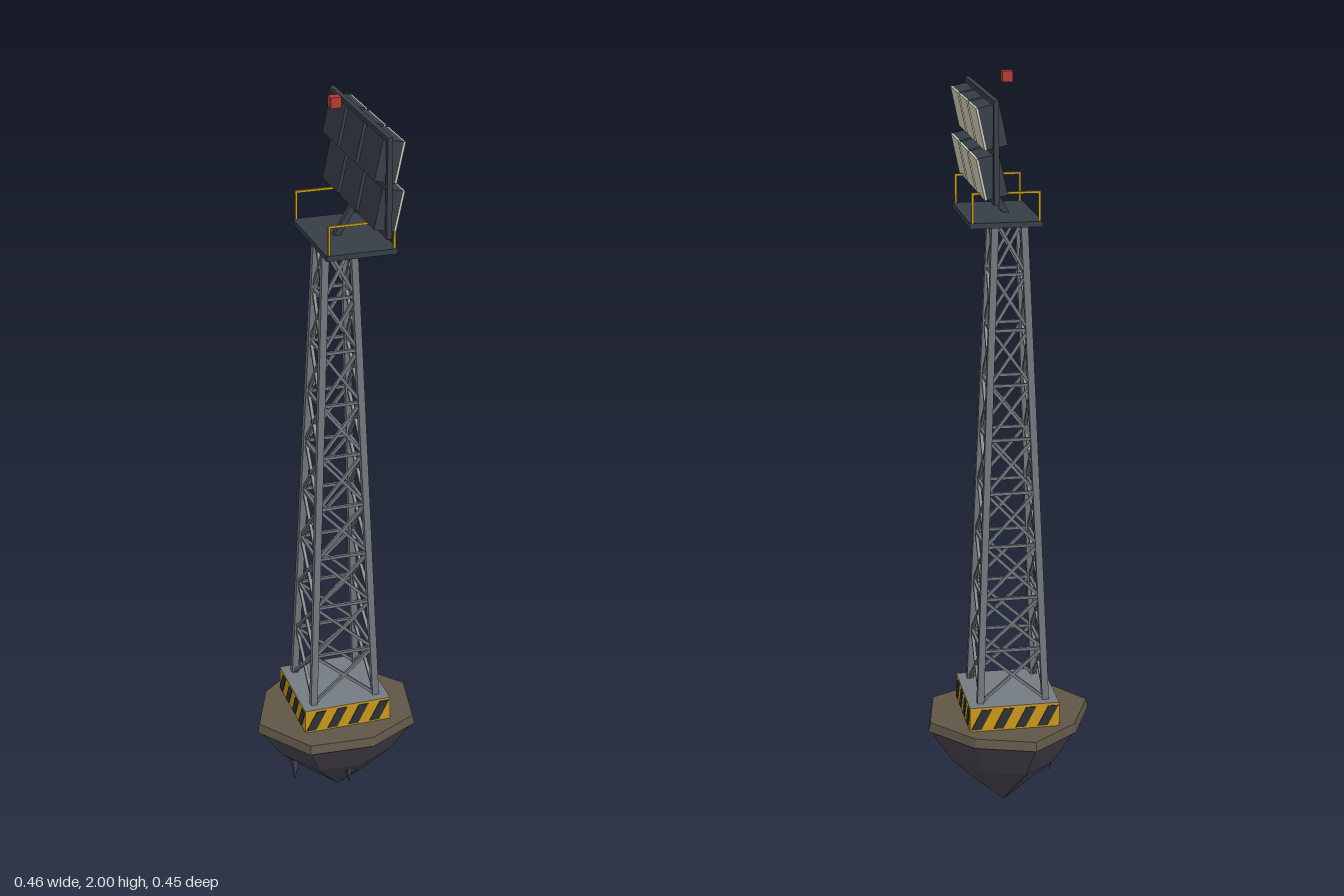
import * as THREE from 'three';

const mat = (name, color) => {
  const m = new THREE.MeshStandardMaterial({ color });
  m.name = name;
  return m;
};

export function createModel() {
  const rock = mat('rock', 0x47434f);
  const soil = mat('soil', 0x5f5647);
  const concrete = mat('concrete', 0x757c82);
  const steel = mat('steel', 0x70767c);
  const yellow = mat('safety yellow', 0xc8981c);
  const black = mat('stripe black', 0x2e3033);
  const dark = mat('dark metal', 0x363d46);
  const cream = mat('lamp glass', 0xcfccb6);
  const red = mat('beacon red', 0xb23a34);

  const root = new THREE.Group();
  root.name = 'floodlightTower';
  const tower = new THREE.Group();
  tower.name = 'tower';
  tower.position.x = 0.006;
  root.add(tower);

  const add = (parent, name, geo, material, x = 0, y = 0, z = 0) => {
    const m = new THREE.Mesh(geo, material);
    m.name = name;
    m.position.set(x, y, z);
    parent.add(m);
    return m;
  };
  const box = (parent, name, material, w, h, d, x, y, z) =>
    add(parent, name, new THREE.BoxGeometry(w, h, d), material, x, y, z);

  // Square bar between two points, in the parent's own frame
  const V = (x, y, z) => new THREE.Vector3(x, y, z);
  const up = V(0, 1, 0);
  const bar = (parent, name, material, a, b, t) => {
    const dir = b.clone().sub(a);
    const m = box(parent, name, material, t, dir.length(), t, 0, 0, 0);
    m.position.copy(a).add(b).multiplyScalar(0.5);
    m.quaternion.setFromUnitVectors(up, dir.normalize());
    return m;
  };

  // Faceted loft of the island outline; rings are [y, scale, dx, dz] from bottom to top
  const outline = [
    [0.229, -0.043], [0.197, 0.128], [0.053, 0.203], [-0.123, 0.191],
    [-0.228, 0.041], [-0.162, -0.118], [-0.035, -0.22], [0.122, -0.171],
  ];
  const loft = (rings) => {
    const n = outline.length;
    const p = (r, i) => {
      const [y, s, dx = 0, dz = 0] = rings[r];
      const [x, z] = outline[i % n];
      return [x * s + dx, y, z * s + dz];
    };
    const mid = (r) => [rings[r][2] || 0, rings[r][0], rings[r][3] || 0];
    const top = rings.length - 1;
    const pos = [];
    for (let i = 0; i < n; i++) {
      for (let r = 0; r < top; r++) {
        pos.push(...p(r, i), ...p(r + 1, i), ...p(r + 1, i + 1));
        if (rings[r][1] > 0) pos.push(...p(r, i), ...p(r + 1, i + 1), ...p(r, i + 1));
      }
      pos.push(...mid(top), ...p(top, i + 1), ...p(top, i));
      if (rings[0][1] > 0) pos.push(...mid(0), ...p(0, i), ...p(0, i + 1));
    }
    const g = new THREE.BufferGeometry();
    g.setAttribute('position', new THREE.Float32BufferAttribute(pos, 3));
    g.computeVertexNormals();
    return g;
  };

  // Floating rock with a soil cap and hanging spikes
  add(root, 'rockBase', loft([
    [0, 0, 0.015, 0.005], [0.065, 0.32, 0.012, 0.004], [0.145, 0.69, 0.004], [0.245, 0.98],
  ]), rock);
  add(root, 'soilCap', loft([[0.242, 1], [0.267, 0.975]]), soil);
  for (const [x, z, tip, h] of [[-0.12, 0.035, 0.06, 0.12], [0.015, 0.105, 0.07, 0.11]]) {
    const spike = new THREE.ConeGeometry(0.026, h, 5).toNonIndexed();
    spike.computeVertexNormals();
    spike.rotateX(Math.PI);
    add(root, 'rockSpike', spike, rock, x, tip + h / 2, z);
  }

  // Footing: concrete top, yellow sides with hazard stripes
  const y0 = 0.335, half = 0.121, footH = 0.07, stripeH = 0.056;
  add(tower, 'footing', new THREE.BoxGeometry(half * 2, footH, half * 2),
    [yellow, yellow, concrete, concrete, yellow, yellow], 0, y0 - footH / 2, 0);
  const stripe = new THREE.Shape([
    new THREE.Vector2(0, 0), new THREE.Vector2(0.027, 0),
    new THREE.Vector2(0.056, stripeH), new THREE.Vector2(0.029, stripeH),
  ]);
  const stripeGeo = new THREE.ExtrudeGeometry(stripe, { depth: 0.003, bevelEnabled: false });
  for (let s = 0; s < 4; s++) {
    const side = new THREE.Group();
    side.name = 'hazardStripes';
    side.rotation.y = s * Math.PI / 2;
    tower.add(side);
    for (let i = 0; i < 4; i++) {
      add(side, 'stripe', stripeGeo, black,
        -half + 0.003 + 0.06 * i, y0 - (footH + stripeH) / 2, half - 0.001);
    }
  }

  // Lattice mast: four sides, each with one leg, girts and crossed braces
  const yTop = 1.635, bays = 9;
  const level = (i) => y0 + (yTop - y0) * i / bays;
  const spread = (i) => 0.088 + (0.037 - 0.088) * i / bays;
  for (let s = 0; s < 4; s++) {
    const side = new THREE.Group();
    side.name = 'latticeSide';
    side.rotation.y = s * Math.PI / 2;
    tower.add(side);
    const at = (i, sx) => V(sx * spread(i), level(i), spread(i));
    bar(side, 'leg', steel, at(0, 1), at(bays, 1), 0.018);
    for (let i = 0; i < bays; i++) {
      bar(side, 'brace', steel, at(i, -1), at(i + 1, 1), 0.008);
      bar(side, 'brace', steel, at(i, 1), at(i + 1, -1), 0.008);
      if (i > 0) bar(side, 'girt', steel, at(i, -1), at(i, 1), 0.008);
    }
  }

  // Service platform with two side railings
  box(tower, 'platform', dark, 0.183, 0.014, 0.284, 0.026, 1.638, 0);
  for (const sz of [-1, 1]) {
    const z = sz * 0.137;
    box(tower, 'railing', yellow, 0.174, 0.006, 0.006, 0.026, 1.718, z);
    for (const x of [-0.058, 0.11]) {
      box(tower, 'railingPost', yellow, 0.006, 0.078, 0.006, x, 1.681, z);
    }
  }

  // Lamp rack: upright frame on a slanted strut
  const rack = new THREE.Group();
  rack.name = 'lampRack';
  rack.position.set(0.071, 1.831, 0);
  root.add(rack);
  bar(root, 'strut', dark, V(0.008, 1.64, 0), V(0.071, 1.745, 0), 0.016);
  for (const y of [-0.12, 0, 0.12]) {
    box(rack, 'frameRail', dark, 0.013, 0.013, 0.454, 0, y, 0);
  }
  for (const sz of [-1, 1]) {
    box(rack, 'framePost', dark, 0.013, 0.253, 0.013, 0, 0, sz * 0.2205);
  }

  // Six floodlights, each tipped downwards
  for (const y of [-0.061, 0.061]) {
    for (const col of [-1, 0, 1]) {
      const lamp = new THREE.Group();
      lamp.name = 'floodlight';
      lamp.position.set(0.005, y, col * 0.1425);
      lamp.rotation.z = -0.21;
      rack.add(lamp);
      box(lamp, 'lampHousing', dark, 0.053, 0.104, 0.124, 0, 0, 0);
      box(lamp, 'lampGlass', cream, 0.005, 0.104, 0.124, 0.029, 0, 0);
    }
  }

  // Warning beacon
  box(root, 'beacon', red, 0.027, 0.027, 0.027, 0.006, 1.9865, 0);

  return root;
}
